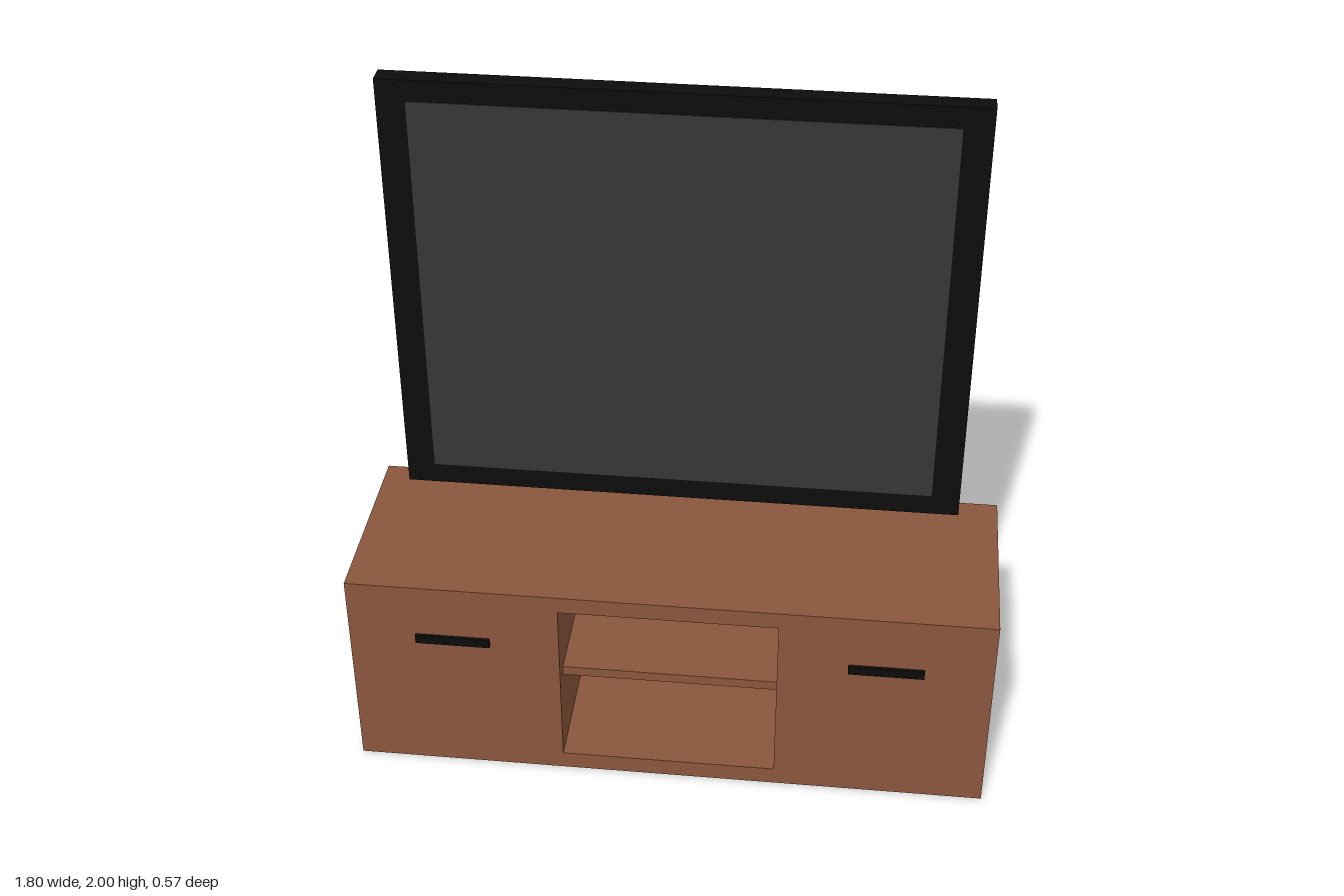
import * as THREE from 'three';

const material = (name, color) => {
  const m = new THREE.MeshStandardMaterial({ color });
  m.name = name;
  return m;
};

// Closed solid through rectangular sections [halfWidth, bottom, top, z], listed front to back
function rectLoft(sections) {
  const rings = sections.map(([w, b, t, z]) => [[-w, b, z], [w, b, z], [w, t, z], [-w, t, z]]);
  const pos = [];
  const quad = (a, b, c, d) => pos.push(...a, ...b, ...c, ...a, ...c, ...d);
  quad(...rings[0]);
  for (let i = 0; i < rings.length - 1; i++) {
    const p = rings[i], q = rings[i + 1];
    for (let k = 0; k < 4; k++) {
      const n = (k + 1) % 4;
      quad(p[k], q[k], q[n], p[n]);
    }
  }
  quad(...rings[rings.length - 1].slice().reverse());
  const geo = new THREE.BufferGeometry();
  geo.setAttribute('position', new THREE.Float32BufferAttribute(pos, 3));
  geo.computeVertexNormals();
  return geo;
}

const rect = (P, x0, y0, x1, y1) => {
  const p = new P();
  p.moveTo(x0, y0).lineTo(x1, y0).lineTo(x1, y1).lineTo(x0, y1).closePath();
  return p;
};

export function createModel() {
  const model = new THREE.Group();
  model.name = 'televisionOnStand';
  const wood = material('brown wood', 0x8a563c);
  const black = material('black plastic', 0x0c0c0c);
  const glass = material('dark grey screen', 0x363636);

  const add = (parent, name, geo, mat) => {
    const mesh = new THREE.Mesh(geo, mat);
    mesh.name = name;
    parent.add(mesh);
    return mesh;
  };
  // Box given by its min and max corners
  const box = (parent, name, mat, [x0, y0, z0], [x1, y1, z1]) =>
    add(parent, name, new THREE.BoxGeometry(x1 - x0, y1 - y0, z1 - z0), mat)
      .position.set((x0 + x1) / 2, (y0 + y1) / 2, (z0 + z1) / 2);

  // Cabinet with an open middle bay running front to back
  const stand = new THREE.Group();
  stand.name = 'stand';
  model.add(stand);
  const outline = rect(THREE.Shape, -0.9, 0, 0.9, 0.63);
  outline.holes.push(rect(THREE.Path, -0.305, 0.053, 0.305, 0.579));
  const body = new THREE.ExtrudeGeometry(outline, { depth: 0.56, bevelEnabled: false });
  body.translate(0, 0, -0.284);
  add(stand, 'cabinet', body, wood);
  box(stand, 'shelf', wood, [-0.305, 0.31, -0.25], [0.305, 0.339, 0.225]);
  for (const [name, x] of [['leftHandle', 0.605], ['rightHandle', -0.605]]) {
    box(stand, name, black, [x - 0.105, 0.44, 0.27], [x + 0.105, 0.467, 0.285]);
  }

  // Television: stepped housing, rear box and screen
  const tv = new THREE.Group();
  tv.name = 'television';
  model.add(tv);
  add(tv, 'housing', rectLoft([
    [0.778, 0.755, 2.0, -0.056],
    [0.778, 0.755, 2.0, -0.11],
    [0.695, 0.817, 1.94, -0.164],
    [0.415, 1.045, 1.705, -0.195],
    [0.37, 1.08, 1.675, -0.216],
  ]), black);
  box(tv, 'rearBox', black, [-0.278, 1.155, -0.267], [0.278, 1.6, -0.21]);
  box(tv, 'screen', glass, [-0.7, 0.817, -0.058], [0.7, 1.942, -0.053]);

  return model;
}
